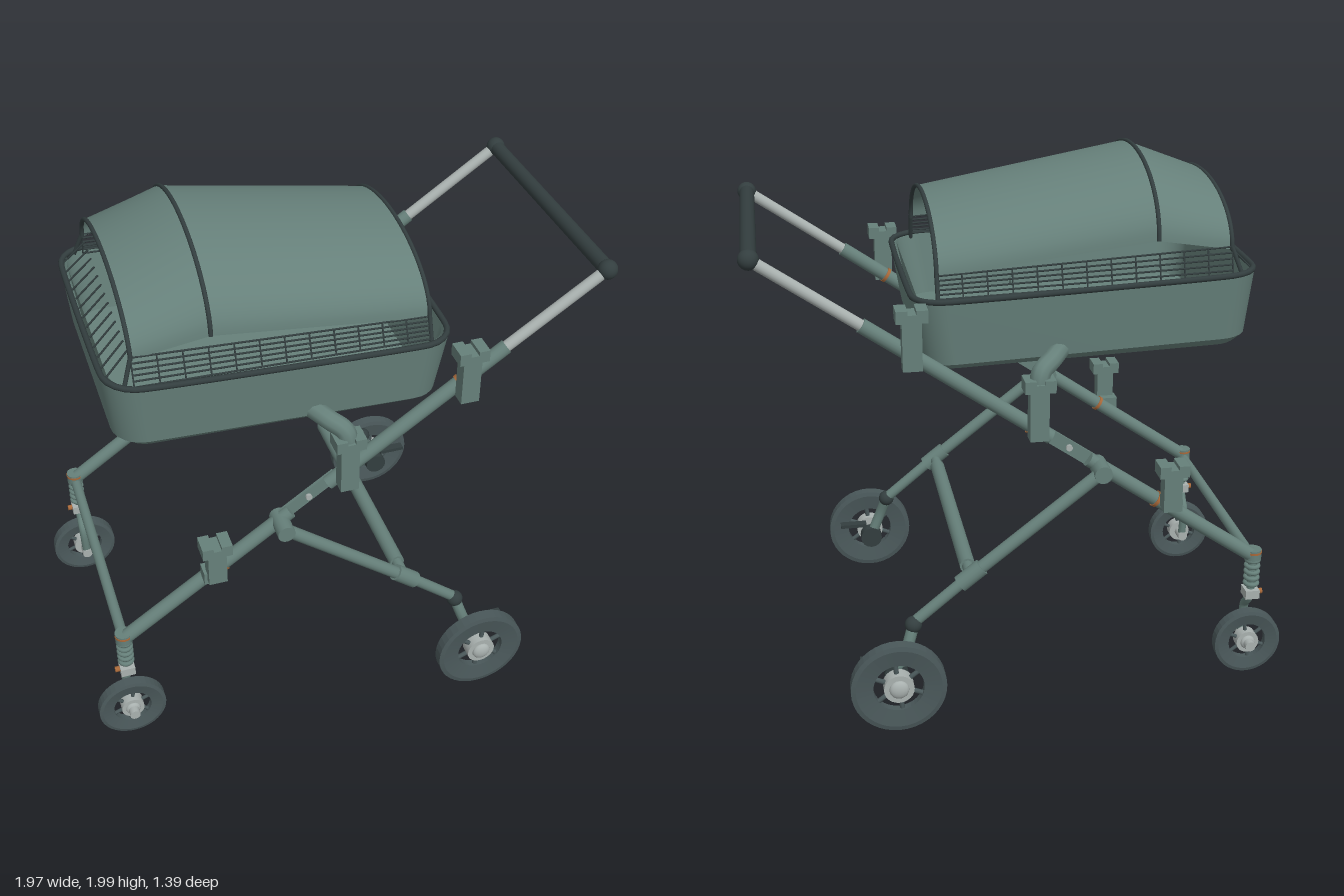
import * as THREE from 'three';
import { mergeGeometries } from 'three/addons/utils/BufferGeometryUtils.js';

const V = (x, y, z) => new THREE.Vector3(x, y, z);

function material(name, color, side = THREE.FrontSide) {
  const m = new THREE.MeshStandardMaterial({ color, side });
  m.name = name;
  return m;
}

// surface strips between neighbouring cross-sections, with a crease at each one
function loft(rings, closed) {
  const strips = [];
  for (let k = 0; k + 1 < rings.length; k++) {
    const a = rings[k], b = rings[k + 1], n = a.length, idx = [];
    for (let i = 0; i < (closed ? n : n - 1); i++) {
      const j = (i + 1) % n;
      idx.push(i, j, n + j, i, n + j, n + i);
    }
    const g = new THREE.BufferGeometry().setFromPoints([...a, ...b]);
    g.setIndex(idx);
    g.computeVertexNormals();
    strips.push(g);
  }
  return mergeGeometries(strips);
}

// rounded rectangle in x and z, with the height sloping from y0 (left) to y1 (right)
function roundedRing(x0, x1, hz, r, y0, y1) {
  const pts = [];
  for (let c = 0; c < 4; c++) {
    const right = c === 0 || c === 3, cx = right ? x1 - r : x0 + r, cz = c < 2 ? hz - r : r - hz;
    for (let i = 0; i <= 6; i++) {
      const t = (c + i / 6) * Math.PI / 2;
      const x = cx + r * Math.cos(t);
      pts.push(V(x, y0 + (y1 - y0) * (x - x0) / (x1 - x0), cz + r * Math.sin(t)));
    }
  }
  return pts;
}

// arched hood section across z
function arch(x, base, top, w, n = 28) {
  return Array.from({ length: n + 1 }, (_, i) => {
    const t = Math.PI * i / n;
    return V(x, base + (top - base) * Math.sin(t), w * Math.cos(t));
  });
}

export function createModel() {
  const model = new THREE.Group();
  model.name = 'grillCart';
  const green = material('paintedGreen', 0x66807a, THREE.DoubleSide);
  const dark = material('darkTrim', 0x333e3f);
  const rubber = material('tyreRubber', 0x4a585a);
  const silver = material('brightMetal', 0xa9b1af);
  const orange = material('copperBand', 0xa8693a);

  const add = (name, geo, mat, parent = model) => {
    const m = new THREE.Mesh(geo, mat);
    m.name = name;
    parent.add(m);
    return m;
  };
  const rod = (a, b, r, sides = 16, r2 = r) => {
    const d = b.clone().sub(a);
    const g = new THREE.CylinderGeometry(r2, r, d.length(), sides);
    g.applyQuaternion(new THREE.Quaternion().setFromUnitVectors(V(0, 1, 0), d.normalize()));
    return g.translate((a.x + b.x) / 2, (a.y + b.y) / 2, (a.z + b.z) / 2);
  };
  const tube = (name, mat, a, b, r, sides) => add(name, rod(a, b, r, sides), mat);
  const bend = (name, mat, pts, r, seg = 24) =>
    add(name, new THREE.TubeGeometry(new THREE.CatmullRomCurve3(pts), seg, r, 10), mat);
  const box = (name, mat, w, h, d, x, y, z) =>
    add(name, new THREE.BoxGeometry(w, h, d).translate(x, y, z), mat);

  // fire tub: outer wall, floor and inner wall
  const floor = roundedRing(-0.775, 0.345, 0.425, 0.09, 1.345, 1.308);
  add('tub', loft([
    floor,
    roundedRing(-0.808, 0.372, 0.45, 0.11, 1.375, 1.328),
    roundedRing(-0.83, 0.41, 0.475, 0.12, 1.61, 1.56),
  ], true), green);
  add('tubInside', loft([
    roundedRing(-0.805, 0.385, 0.45, 0.1, 1.61, 1.56),
    roundedRing(-0.77, 0.34, 0.42, 0.09, 1.36, 1.325),
  ], true), green);
  [[floor, 'tubFloor', 0], [floor, 'tubInnerFloor', 0.015]].forEach(([ring, name, lift]) => {
    const center = ring.map(() => V(-0.215, 1.3265, 0));
    add(name, loft([ring, center], true).translate(0, lift, 0), green);
  });
  const rim = new THREE.CatmullRomCurve3(roundedRing(-0.825, 0.405, 0.47, 0.12, 1.615, 1.563), true);
  add('tubRim', new THREE.TubeGeometry(rim, 120, 0.011, 8, true), dark);

  // arched hood with ribs
  const sections = [[-0.73, 1.69, 1.885, 0.41], [-0.46, 1.735, 1.99, 0.42], [0.32, 1.64, 1.845, 0.41]];
  add('hood', loft(sections.map((s) => arch(...s)), false), green);
  sections.forEach((s) => bend('hoodRib', dark, arch(...s), 0.008, 48));

  // wire guards between tub and hood
  const wires = [];
  for (const s of [-1, 1]) {
    const at = (u, v) => V(-0.73 + 1.05 * u, 1.60 - 0.03 * u + (0.1 - 0.025 * u) * v, s * (0.44 - 0.03 * v));
    for (let i = 0; i <= 5; i++) wires.push(rod(at(0, i / 5), at(1, i / 5), 0.0035, 6));
    for (let i = 0; i <= 12; i++) wires.push(rod(at(i / 12, 0), at(i / 12, 1), 0.003, 6));
    tube('hoodPost', dark, V(-0.765, 1.6, s * 0.44), V(-0.73, 1.7, s * 0.41), 0.008, 8);
    tube('hoodPost', dark, V(0.32, 1.55, s * 0.445), V(0.32, 1.65, s * 0.41), 0.008, 8);
  }
  for (let i = -6; i <= 6; i++) {
    wires.push(rod(V(-0.815, 1.61, i * 0.063), V(-0.73, 1.695, i * 0.06), 0.0035, 6));
  }
  add('wireGuard', mergeGeometries(wires), dark);

  // wheel with tyre, spokes and hub, axle along z
  function wheel(name, x, y, z, r, width, hole) {
    const g = new THREE.Group();
    g.name = name;
    g.position.set(x, y, z);
    const h = width / 2;
    const profile = [[hole, -h * 0.6], [r * 0.9, -h], [r, -h * 0.85], [r, h * 0.85], [r * 0.9, h], [hole, h * 0.6], [hole, -h * 0.6]];
    const tyre = new THREE.LatheGeometry(profile.map((p) => new THREE.Vector2(...p)), 40).toNonIndexed();
    tyre.computeVertexNormals();
    add('tyre', tyre.rotateX(Math.PI / 2), rubber, g);
    const hub = hole * 0.6;
    for (let i = 0; i < 6; i++) {
      const t = i * Math.PI / 3 + 0.4, c = Math.cos(t), s = Math.sin(t);
      add('spoke', rod(V(c * hub * 0.8, s * hub * 0.8, 0), V(c * hole * 1.03, s * hole * 1.03, 0), hole * 0.1, 8), rubber, g);
    }
    add('hub', new THREE.CylinderGeometry(hub, hub, width, 24).rotateX(Math.PI / 2), silver, g);
    add('hubCap', new THREE.SphereGeometry(hub * 0.65, 16, 10).scale(1, 1, 0.5).translate(0, 0, Math.sign(z) * h), silver, g);
    model.add(g);
  }

  // bracket with a notched cap
  function bracket(x, bottom, top, z) {
    box('bracketBody', green, 0.068, top - bottom - 0.03, 0.055, x, (top + bottom - 0.03) / 2, z);
    box('bracketCap', green, 0.11, 0.03, 0.08, x, top - 0.03, z);
    for (const e of [-1, 1]) box('bracketLip', green, 0.04, 0.02, 0.08, x + e * 0.035, top - 0.01, z);
  }

  const low = V(-0.86, 0.5, 0), dir = V(1.44, 1.0, 0).normalize();
  const onBar = (x, z) => V(x, low.y + (x - low.x) * 1.0 / 1.44, z);

  for (const s of [-1, 1]) {
    const z = s * 0.48;
    // folding main bar with a sliding handle tube
    tube('lowerBar', green, onBar(-0.86, z), onBar(-0.21, z), 0.027);
    tube('upperBar', green, onBar(-0.07, z), onBar(0.59, z), 0.027);
    const plate = add('hingePlate', new THREE.BoxGeometry(0.26, 0.05, 0.012), green);
    plate.position.copy(onBar(-0.14, s * 0.468));
    plate.rotation.z = Math.atan2(dir.y, dir.x);
    const bolt = onBar(-0.14, 0);
    tube('hingeBolt', silver, V(bolt.x, bolt.y, s * 0.455), V(bolt.x, bolt.y, s * 0.485), 0.012, 10);
    tube('handleTube', silver, onBar(0.58, z), V(0.95, 1.755, z), 0.021);
    add('handleKnob', new THREE.SphereGeometry(0.036, 20, 14).translate(0.95, 1.755, z), dark);
    for (const x of [-0.47, 0.0, 0.42]) {
      const p = onBar(x, z), step = dir.clone().multiplyScalar(0.006);
      tube('band', orange, p.clone().sub(step), p.clone().add(step), 0.031);
    }

    // brackets along the bar, the middle one holding the tub
    bracket(-0.51, 0.76, 0.94, s * 0.54);
    bracket(-0.015, 1.07, 1.3, s * 0.54);
    bracket(0.425, 1.36, 1.58, s * 0.54);
    box('bracketFoot', green, 0.07, 0.05, 0.06, -0.52, 0.765, s * 0.51);
    bend('tubSupport', green, [V(-0.11, 1.36, s * 0.43), V(-0.07, 1.345, s * 0.49), V(-0.025, 1.315, s * 0.53), V(-0.015, 1.25, s * 0.54)], 0.036);

    // rear leg with sleeve and pivot
    const zl = s * 0.535;
    tube('rearLegUpper', green, V(-0.25, 0.92, zl), V(0.23, 0.545, zl), 0.024);
    tube('rearLegSleeve', green, V(0.19, 0.577, zl), V(0.27, 0.514, zl), 0.032);
    tube('rearLegLower', green, V(0.25, 0.53, zl), V(0.45, 0.365, zl), 0.021);
    tube('legPivot', green, V(-0.25, 0.92, s * 0.45), V(-0.25, 0.92, s * 0.565), 0.033);

    // rear wheel on a swinging arm
    add('rearJoint', new THREE.SphereGeometry(0.032, 16, 12).translate(0.445, 0.365, s * 0.54), dark);
    bend('rearArm', green, [V(0.445, 0.365, s * 0.54), V(0.47, 0.29, s * 0.56), V(0.515, 0.18, s * 0.56)], 0.022);
    tube('rearArmEnd', dark, V(0.515, 0.18, s * 0.535), V(0.515, 0.18, s * 0.58), 0.045);
    tube('rearAxle', silver, V(0.515, 0.18, s * 0.55), V(0.515, 0.18, s * 0.65), 0.016);
    box('brakeLever', dark, 0.11, 0.015, 0.035, 0.59, 0.24, s * 0.555);
    wheel('rearWheel', 0.515, 0.18, s * 0.65, 0.175, 0.05, 0.093);

    // sprung front caster
    tube('casterHead', green, V(-0.86, 0.49, z), V(-0.86, 0.53, z), 0.032);
    tube('casterPin', green, V(-0.86, 0.34, z), V(-0.86, 0.5, z), 0.016);
    for (let i = 0; i < 5; i++) {
      add('springCoil', new THREE.TorusGeometry(0.023, 0.009, 8, 20).rotateX(Math.PI / 2).translate(-0.86, 0.385 + i * 0.025, z), green);
    }
    box('casterBlock', silver, 0.055, 0.035, 0.06, -0.86, 0.345, z);
    tube('casterStud', orange, V(-0.905, 0.345, z), V(-0.88, 0.345, z), 0.011, 10);
    tube('headBand', orange, V(-0.86, 0.515, z), V(-0.86, 0.523, z), 0.0335);
    bend('casterArm', green, [V(-0.86, 0.34, z), V(-0.86, 0.3, s * 0.455), V(-0.86, 0.26, s * 0.422), V(-0.855, 0.135, s * 0.42)], 0.017);
    tube('frontAxle', silver, V(-0.855, 0.135, s * 0.4), V(-0.855, 0.135, s * 0.54), 0.02);
    wheel('frontWheel', -0.855, 0.135, s * 0.48, 0.13, 0.045, 0.073);
  }

  // cross members and push handle
  tube('frontCrossBar', green, V(-0.86, 0.49, -0.48), V(-0.86, 0.49, 0.48), 0.02);
  tube('rearCrossBar', green, V(0.23, 0.54, -0.45), V(0.23, 0.54, 0.45), 0.029);
  tube('rearCrossBarCore', green, V(0.23, 0.54, -0.535), V(0.23, 0.54, 0.535), 0.021);
  tube('handleGrip', dark, V(0.95, 1.755, -0.47), V(0.95, 1.755, 0.47), 0.028);

  return model;
}
